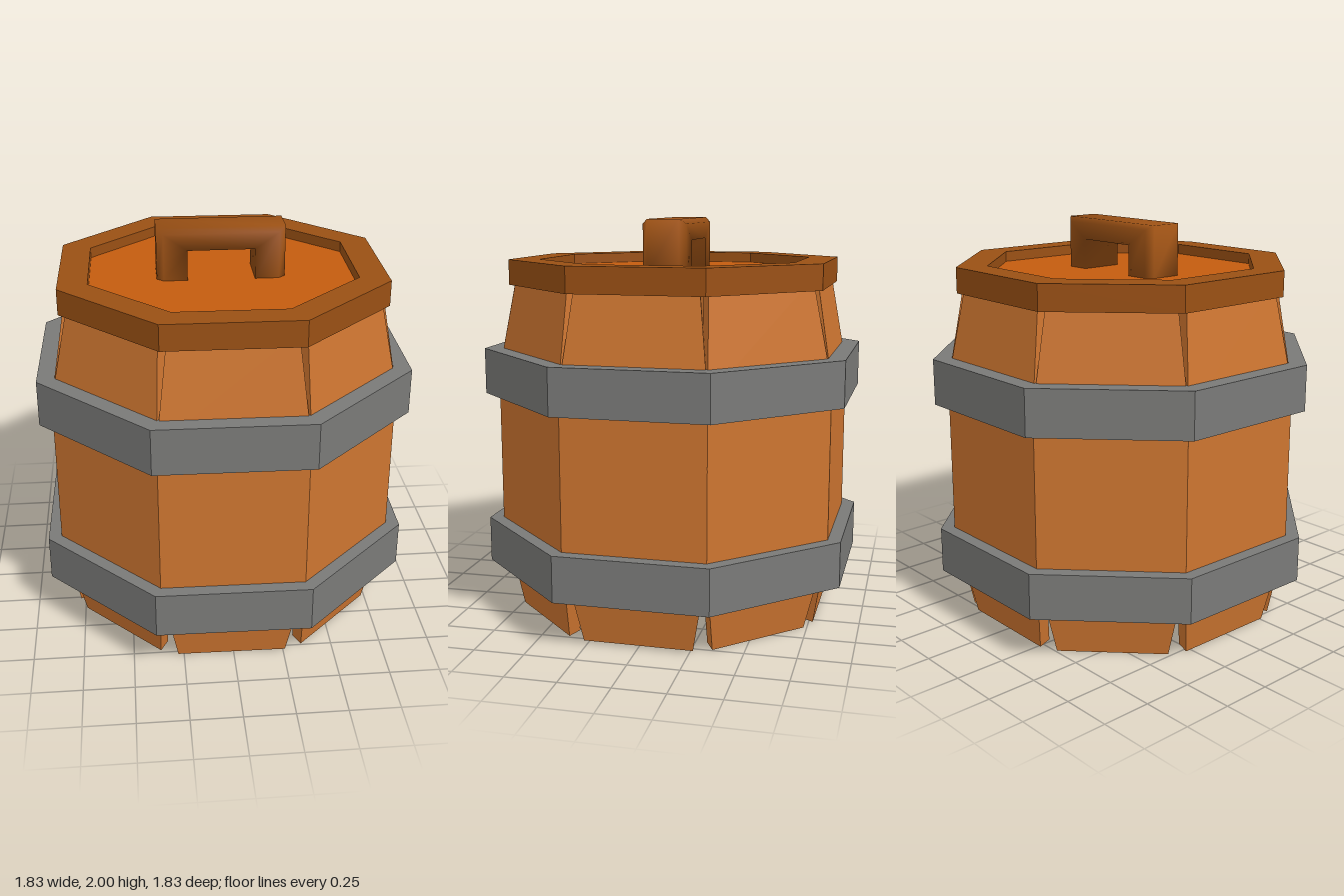
import * as THREE from 'three';

const SIDES = 8;
const TWIST = THREE.MathUtils.degToRad(-0.65);
const HALF = Math.PI / SIDES;

const flat = (color) => new THREE.MeshStandardMaterial({ color, flatShading: true });
const wood = flat(0xcd7530);
const rimWood = flat(0x9a5014);
const lidWood = flat(0xc45c0e);
const metal = flat(0x7a7a78);
const handleWood = new THREE.MeshStandardMaterial({ color: 0x9a5014 });

function add(parent, name, geometry, material) {
  const mesh = new THREE.Mesh(geometry, material);
  mesh.name = name;
  parent.add(mesh);
  return mesh;
}

// Solid skinned through equal-sized loops of points, capped at both ends
function loft(loops) {
  const n = loops[0].length;
  const index = [];
  for (let i = 0; i < loops.length - 1; i++) {
    for (let j = 0; j < n; j++) {
      const a = i * n + j, b = i * n + (j + 1) % n;
      index.push(a, b, b + n, a, b + n, a + n);
    }
  }
  const last = (loops.length - 1) * n;
  for (let j = 1; j < n - 1; j++) {
    index.push(0, j + 1, j, last, last + j, last + j + 1);
  }
  const geometry = new THREE.BufferGeometry();
  geometry.setAttribute('position', new THREE.Float32BufferAttribute(loops.flat(2), 3));
  geometry.setIndex(index);
  geometry.computeVertexNormals();
  return geometry;
}

// One stave facing +z: [y, outer distance, half width, inner lift]
function staveGeometry() {
  const t = 0.065;
  const sections = [
    [0, 0.773, 0.27, 0.012],
    [0.43, 0.846, 0.3505, 0],
    [1.23, 0.846, 0.3505, 0],
    [1.73, 0.76, 0.292, 0],
  ];
  return loft(sections.map(([y, d, w, lift]) => {
    const wi = w - t * Math.tan(HALF) * 0.5;
    return [[-w, y, d], [w, y, d], [wi, y + lift, d - t], [-wi, y + lift, d - t]];
  }));
}

// U-shaped grip: one bevelled section carried along legs and bar with mitred corners
function handleGeometry() {
  const outer = [[-0.315, 1.74], [-0.315, 2], [0.315, 2], [0.315, 1.74]];
  const inner = [[-0.165, 1.74], [-0.165, 1.895], [0.165, 1.895], [0.165, 1.74]];
  // [share of the way from outer to inner, z]
  const section = [[0, 0.08], [0.22, 0.11], [1, 0.11], [1, -0.11], [0.22, -0.11], [0, -0.08]];
  return loft(outer.map(([ox, oy], i) => section.map(([u, z]) => [
    ox + (inner[i][0] - ox) * u,
    oy + (inner[i][1] - oy) * u,
    z,
  ])));
}

export function createModel() {
  const barrel = new THREE.Group();
  barrel.name = 'barrel';

  // Staves
  const staves = new THREE.Group();
  staves.name = 'staves';
  barrel.add(staves);
  const stave = staveGeometry();
  for (let i = 0; i < SIDES; i++) {
    add(staves, 'stave', stave, wood).rotation.y = TWIST + i * 2 * HALF;
  }

  // Metal bands, solid across so they also close the bottom
  for (const [name, y] of [['lowerBand', 0.345], ['upperBand', 1.235]]) {
    const band = add(barrel, name, new THREE.CylinderGeometry(0.986, 0.986, 0.23, SIDES), metal);
    band.position.y = y;
    band.rotation.y = HALF + TWIST;
  }

  // Rim around the recessed lid
  const rimProfile = [[0, 1.67], [0.855, 1.67], [0.855, 1.797], [0.7, 1.797], [0.7, 1.745]]
    .map(([r, y]) => new THREE.Vector2(r, y));
  add(barrel, 'rim', new THREE.LatheGeometry(rimProfile, SIDES), rimWood).rotation.y = HALF + TWIST;

  // Lid
  const lid = add(barrel, 'lid', new THREE.CylinderGeometry(0.7, 0.7, 0.04, SIDES), lidWood);
  lid.position.y = 1.725;
  lid.rotation.y = HALF + TWIST;

  // Handle
  add(barrel, 'handle', handleGeometry(), handleWood).position.set(-0.003, 0, -0.005);

  return barrel;
}
